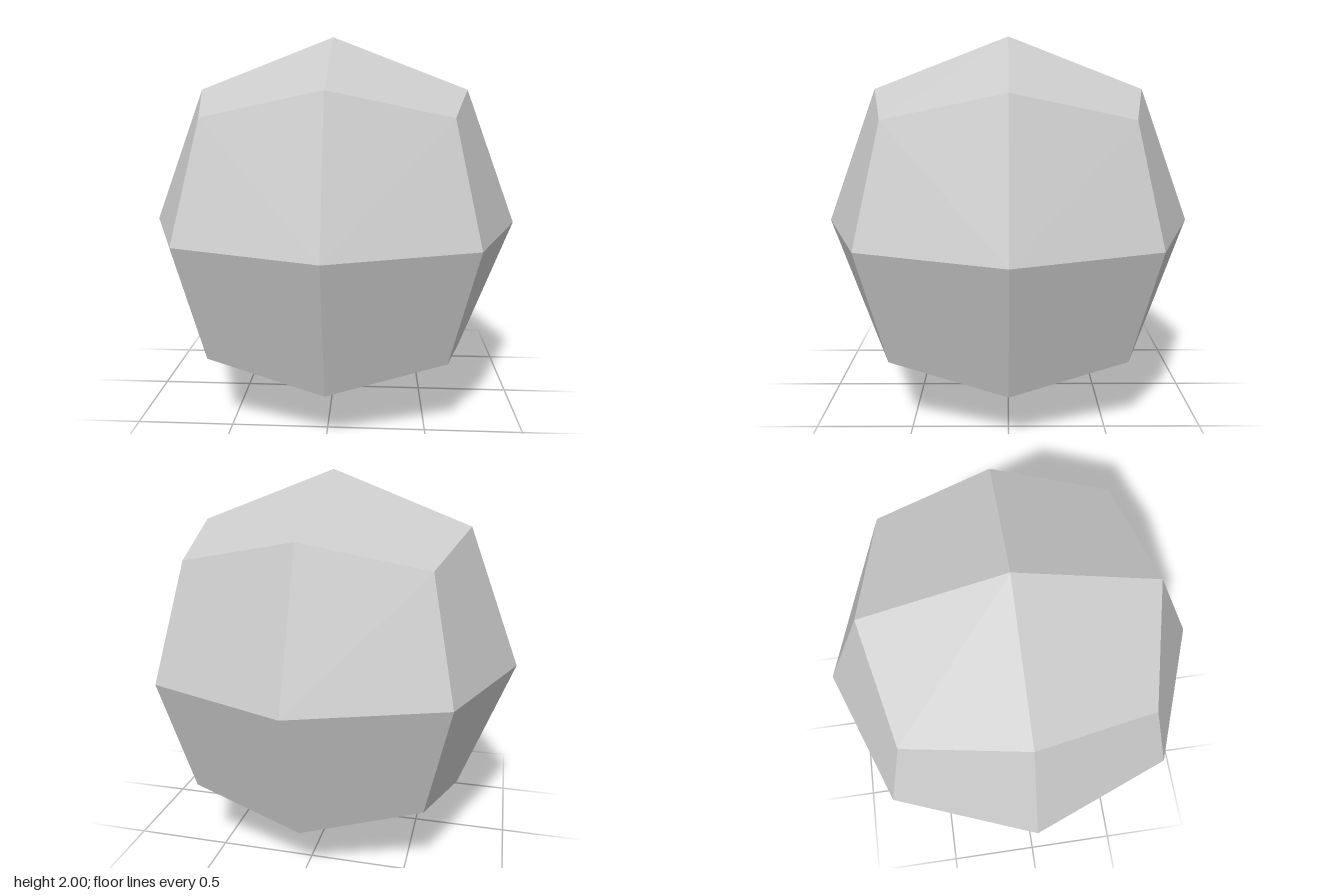
import * as THREE from 'three';

// Distances from the centre along each axis for the three kinds of corner
const TIP = 1, EDGE = 0.724, CORNER = 0.597;

// A cube rounded into 24 kite faces, four around each of its six tips
function roundedCubeGeometry() {
  const positions = [], normals = [];
  const axes = ['x', 'y', 'z'];
  for (let i = 0; i < 3; i++) {
    const [a, b, c] = [axes[i], axes[(i + 1) % 3], axes[(i + 2) % 3]];
    for (const sa of [-1, 1]) for (const sb of [-1, 1]) for (const sc of [-1, 1]) {
      const point = (u, v, w) => {
        const p = new THREE.Vector3();
        p[a] = u * sa; p[b] = v * sb; p[c] = w * sc;
        return p;
      };
      const tip = point(TIP, 0, 0), corner = point(CORNER, CORNER, CORNER);
      let e1 = point(EDGE, EDGE, 0), e2 = point(EDGE, 0, EDGE);
      // Mirrored octants need the opposite winding
      if (sa * sb * sc < 0) [e1, e2] = [e2, e1];
      // One shared normal keeps each kite evenly flat
      const normal = corner.clone().sub(tip).cross(e2.clone().sub(e1)).normalize();
      for (const p of [tip, e1, corner, tip, corner, e2]) {
        positions.push(...p.toArray());
        normals.push(...normal.toArray());
      }
    }
  }
  const geometry = new THREE.BufferGeometry();
  geometry.setAttribute('position', new THREE.Float32BufferAttribute(positions, 3));
  geometry.setAttribute('normal', new THREE.Float32BufferAttribute(normals, 3));
  return geometry;
}

export function createModel() {
  const group = new THREE.Group();
  group.name = 'facetedBall';
  const grey = new THREE.MeshStandardMaterial({ color: 0xcccccc });
  grey.name = 'light grey';
  const ball = new THREE.Mesh(roundedCubeGeometry(), grey);
  ball.name = 'ball';
  ball.position.y = 1;
  group.add(ball);
  return group;
}
